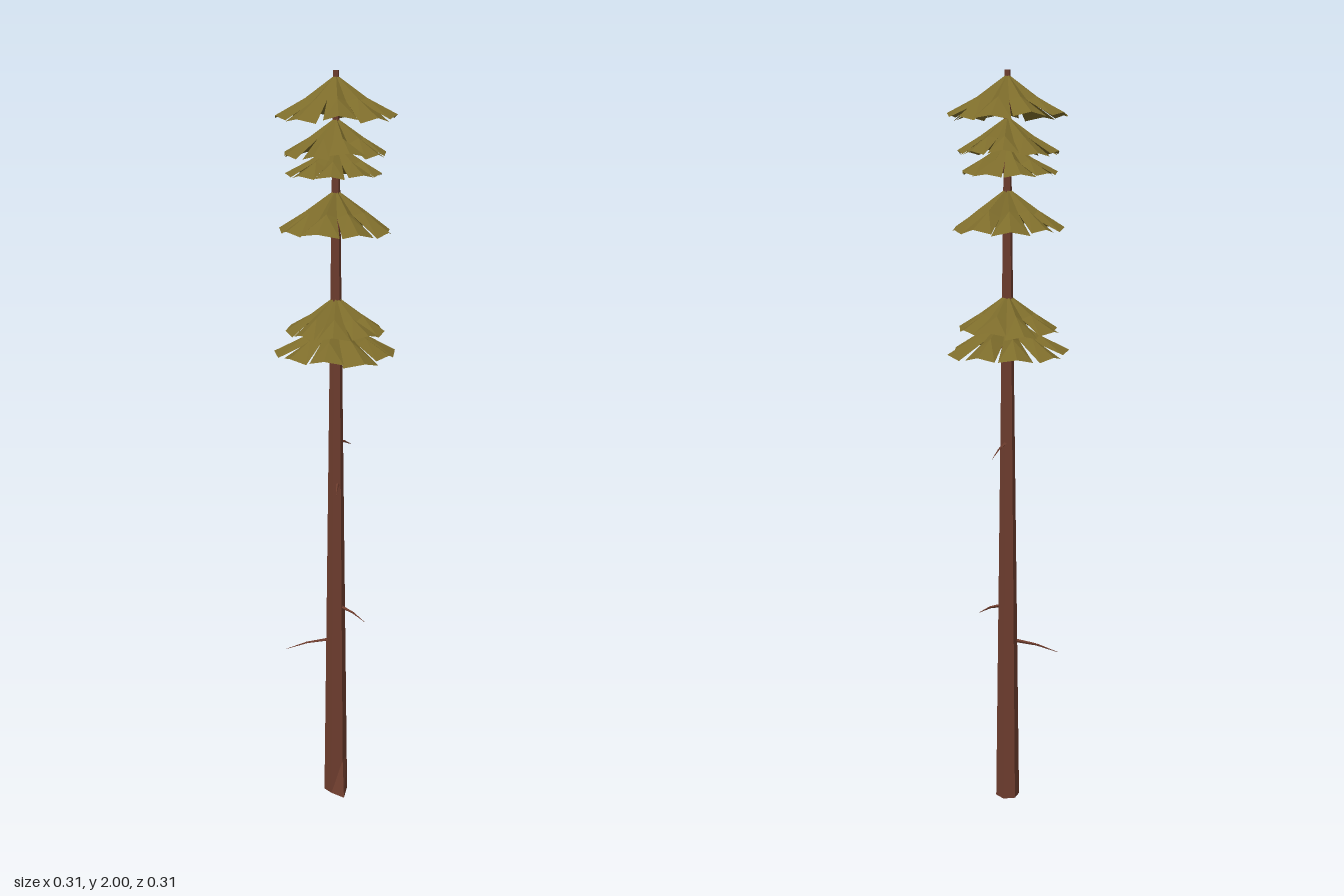
import * as THREE from 'three';

const bark = new THREE.MeshStandardMaterial({ color: 0x6e3d2e, flatShading: true });
const needles = new THREE.MeshStandardMaterial({ color: 0x7d6c2b, flatShading: true, side: THREE.DoubleSide });

function seeded(seed) {
  let s = seed;
  return () => (s = (s * 16807) % 2147483647) / 2147483647;
}

// Tapered six-sided trunk; one corner spreads into a root at the ground
function makeTrunk() {
  const geo = new THREE.CylinderGeometry(1, 1, 2, 6, 20);
  geo.translate(0, 1, 0);
  const p = geo.attributes.position;
  for (let i = 0; i < p.count; i++) {
    const y = p.getY(i);
    const r = 0.033 - 0.0128 * y;
    let x = p.getX(i) * r;
    let z = p.getZ(i) * r;
    if (y < 0.05 && x > 0.01 && z > 0.005) {
      x += 0.015;
      z += 0.03;
    }
    p.setXYZ(i, x, y, z);
  }
  geo.computeVertexNormals();
  const trunk = new THREE.Mesh(geo, bark);
  trunk.name = 'trunk';
  return trunk;
}

// Skirt of drooping boughs: closed around the trunk, split into blades at the rim
function makeTier(apexY, drop, radius, turn, seed) {
  const rand = seeded(seed);
  const count = 9;
  const pos = [];
  const point = (a, r, y) => [Math.cos(a) * r, y, Math.sin(a) * r];
  const tri = (a, b, c) => pos.push(...a, ...c, ...b);
  const apex = [0, apexY, 0];
  const step = (Math.PI * 2) / count;
  const shoulders = [];
  for (let i = 0; i < count; i++) {
    shoulders.push(point(turn + i * step, radius * (0.38 + 0.1 * rand()), apexY - drop * (0.52 + 0.14 * rand())));
  }
  for (let i = 0; i < count; i++) {
    const a = turn + i * step;
    const s0 = shoulders[i];
    const s1 = shoulders[(i + 1) % count];
    const r = radius * (0.87 + 0.13 * rand());
    const tipY = apexY - drop * (0.88 + 0.1 * rand());
    const ridge = point(a + step / 2, radius * 0.5, apexY - drop * 0.5);
    const tip0 = point(a + step * (0.14 * rand() - 0.04), r * 0.96, tipY - drop * 0.04);
    const tip1 = point(a + step * (0.9 + 0.14 * rand()), r * (0.9 + 0.1 * rand()), tipY - drop * 0.06 * rand());
    const tipMid = point(a + step / 2, r, tipY + drop * 0.05);
    tri(apex, s0, ridge);
    tri(apex, ridge, s1);
    tri(s0, tip0, ridge);
    tri(ridge, tip0, tipMid);
    tri(ridge, tipMid, tip1);
    tri(ridge, tip1, s1);
  }
  const geo = new THREE.BufferGeometry();
  geo.setAttribute('position', new THREE.Float32BufferAttribute(pos, 3));
  geo.computeVertexNormals();
  return new THREE.Mesh(geo, needles);
}

// Thin dead twig, bent slightly downward in the middle
function makeTwig(from, to) {
  const a = new THREE.Vector3(...from);
  const b = new THREE.Vector3(...to);
  const mid = a.clone().lerp(b, 0.5).add(new THREE.Vector3(0, 0.005, 0));
  const group = new THREE.Group();
  [[a, mid, 0.005, 0.003], [mid, b, 0.003, 0.0005]].forEach(([s, e, r0, r1]) => {
    const dir = e.clone().sub(s);
    const mesh = new THREE.Mesh(new THREE.CylinderGeometry(r1, r0, dir.length(), 4), bark);
    mesh.position.copy(s).lerp(e, 0.5);
    mesh.quaternion.setFromUnitVectors(new THREE.Vector3(0, 1, 0), dir.normalize());
    group.add(mesh);
  });
  return group;
}

export function createModel() {
  const tree = new THREE.Group();
  tree.name = 'pineTree';
  tree.add(makeTrunk());

  // apex height, drop, radius, turn
  [
    [1.99, 0.115, 0.16, 0.1],
    [1.885, 0.1, 0.142, 0.6],
    [1.82, 0.085, 0.138, 0.25],
    [1.705, 0.115, 0.16, 0.45],
    [1.43, 0.105, 0.145, 0.2],
    [1.375, 0.11, 0.17, -0.35],
  ].forEach(([y, drop, r, turn], i) => {
    const tier = makeTier(y, drop, r, turn, 101 + i * 7919);
    tier.name = `foliageTier${i + 1}`;
    tree.add(tier);
  });

  [
    [[-0.02, 0.462, 0.012], [-0.13, 0.43, 0.048]],
    [[0.02, 0.562, 0.005], [0.09, 0.53, 0.012]],
    [[0.012, 0.918, 0.015], [0.032, 0.907, 0.078]],
    [[0, 1.03, -0.012], [0.005, 1.003, -0.1]],
  ].forEach(([from, to], i) => {
    const twig = makeTwig(from, to);
    twig.name = `deadTwig${i + 1}`;
    tree.add(twig);
  });
  return tree;
}
